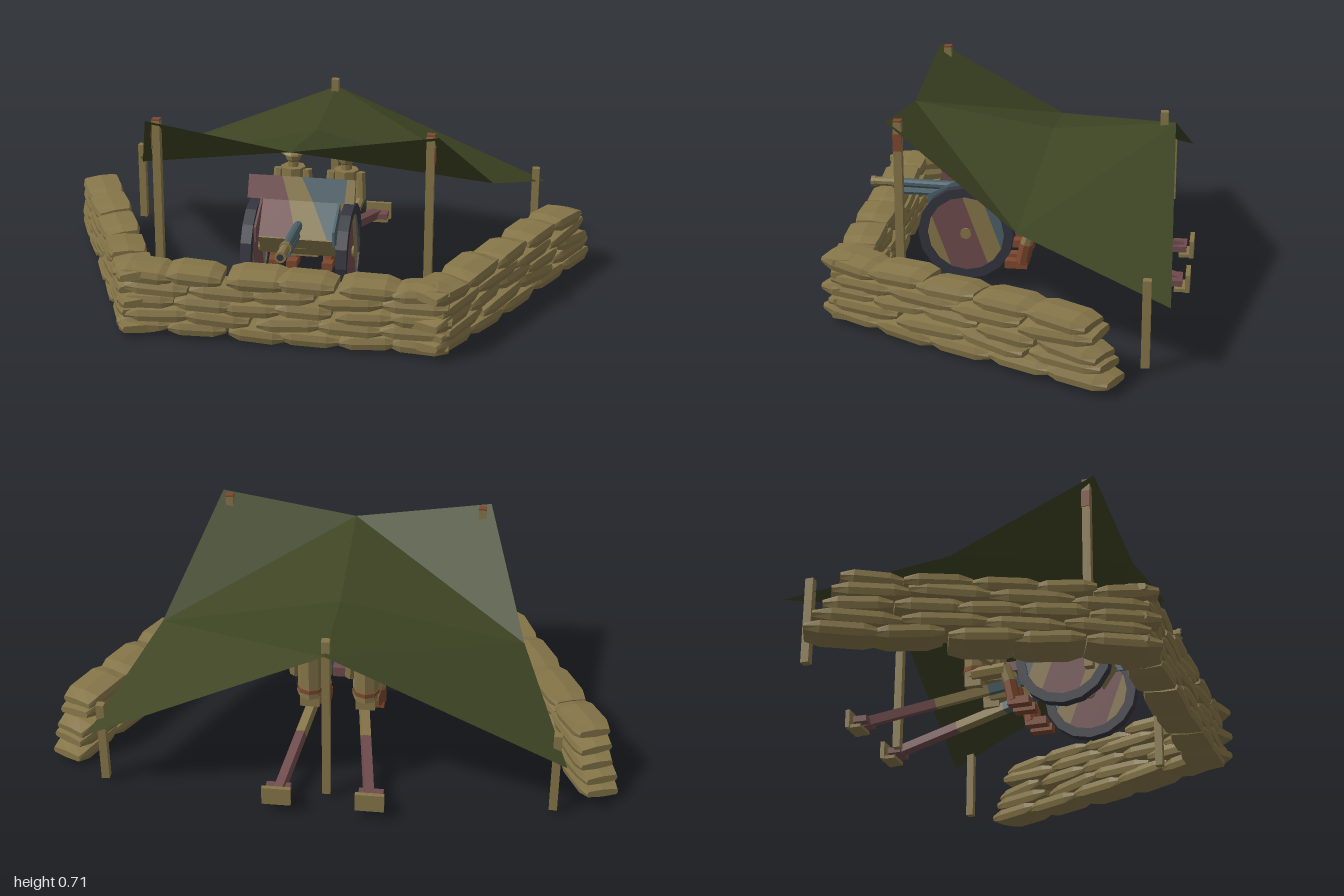
import * as THREE from 'three';

const mat = (name, color) => {
  const m = new THREE.MeshStandardMaterial({ color, flatShading: true });
  m.name = name;
  return m;
};

export function createModel() {
  const root = new THREE.Group();
  const tan = mat('tan', 0x857548), olive = mat('olive canvas', 0x3e4523);
  const rust = mat('rust leather', 0x7d482f), red = mat('mauve camouflage', 0x6f4b4c);
  const teal = mat('teal camouflage', 0x4b6068), dark = mat('tyre', 0x33343e);
  olive.side = THREE.DoubleSide;

  let seed = 7;
  const rand = () => (seed = (seed * 16807) % 2147483647) / 2147483647 - 0.5;
  const V = (a) => new THREE.Vector3(...a);

  function group(name, parent = root) {
    const g = new THREE.Group();
    g.name = name;
    parent.add(g);
    return g;
  }
  function add(parent, name, geo, m, pos = [0, 0, 0]) {
    const mesh = new THREE.Mesh(geo, m);
    mesh.name = name;
    mesh.position.set(...pos);
    parent.add(mesh);
    return mesh;
  }
  // Prism running from point a to point b; four sides give a square bar
  function link(parent, name, m, a, b, r, sides = 8, r2 = r) {
    const d = V(b).sub(V(a));
    const geo = new THREE.CylinderGeometry(r2, r, d.length(), sides, 1, false, sides === 4 ? Math.PI / 4 : 0);
    const mesh = add(parent, name, geo, m, V(a).addScaledVector(d, 0.5).toArray());
    mesh.quaternion.setFromUnitVectors(V([0, 1, 0]), d.normalize());
    return mesh;
  }
  const box = (parent, name, m, size, pos) => add(parent, name, new THREE.BoxGeometry(...size), m, pos);

  // Sandbag: a box with sloping ends and bulging sides
  function bagGeometry(length) {
    const g = new THREE.BoxGeometry(length, 0.058, 0.138, 4, 2, 2);
    const p = g.attributes.position;
    for (let i = 0; i < p.count; i++) {
      const x = p.getX(i), y = p.getY(i), z = p.getZ(i);
      const end = Math.abs(x) > length * 0.45;
      const edge = Math.abs(z) > 0.01 && Math.abs(y) > 0.01;
      p.setX(i, x * (Math.abs(x) > 0.01 && !end ? 1.15 : 1));
      p.setY(i, y * (end ? 0.5 : 1) * (edge ? 0.75 : 1));
      p.setZ(i, z * (end ? 0.85 : 1) * (edge ? 0.92 : 1));
    }
    return g;
  }

  // Wall of staggered, loosely laid bag rows between two ground points; the far end steps in
  function wall(name, a, b, bags, step) {
    const g = group(name), A = V(a), d = V(b).sub(A), full = d.length();
    d.normalize();
    for (let row = 0; row < 5; row++) {
      const shift = row % 2 ? 0.03 : 0;
      const n = bags - (row % 2), len = (full - step * row - shift) / n;
      for (let i = 0; i < n; i++) {
        const inner = i > 0 && i < n - 1 ? 0.04 : 0.01;
        const pos = A.clone().addScaledVector(d, shift + len * (i + 0.5) + rand() * inner);
        pos.y = 0.036 + row * 0.0455 + rand() * 0.01;
        const bag = add(g, 'sandbag', bagGeometry(len * (1.04 + rand() * 0.12)), tan, pos.toArray());
        bag.rotation.set(rand() * 0.22, Math.atan2(-d.z, d.x) + rand() * 0.09, rand() * 0.15, 'YXZ');
      }
    }
  }
  wall('frontWall', [-0.565, 0, 0.518], [0.565, 0, 0.518], 6, 0);
  for (const s of [1, -1]) wall('sideWall', [s * 0.485, 0, 0.585], [s * 0.945, 0, -0.425], 5, 0.023);

  // Canopy: folded sheet, each half made of four flat panels, mirrored
  const A = [0.5, 0.71, 0.39], B = [0, 0.63, 0.39], C = [0.65, 0.4, -0.07];
  const M = [0, 0.55, -0.11], D = [0.815, 0.24, -0.583], E = [0, 0.59, -0.545];
  const sheetPoints = [];
  for (const tri of [[A, C, B], [B, C, M], [C, E, M], [C, D, E]]) {
    sheetPoints.push(...tri.flat());
    sheetPoints.push(...[...tri].reverse().flatMap(([x, y, z]) => [-x, y, z]));
  }
  const sheet = new THREE.BufferGeometry();
  sheet.setAttribute('position', new THREE.Float32BufferAttribute(sheetPoints, 3));
  sheet.computeVertexNormals();
  add(root, 'canopy', sheet, olive);

  // Canopy poles
  const poles = group('poles');
  for (const [x, z, top] of [[0.47, 0.355, 0.705], [-0.47, 0.355, 0.705], [0.78, -0.505, 0.318], [-0.78, -0.505, 0.318], [0, -0.505, 0.63]]) {
    box(poles, 'pole', tan, [0.028, top - 0.015, 0.028], [x, (top + 0.015) / 2, z]);
    if (top > 0.7) {
      box(poles, 'poleBinding', rust, [0.004, 0.06, 0.03], [x + Math.sign(x) * 0.015, 0.635, z]);
      box(poles, 'poleCap', rust, [0.028, 0.006, 0.028], [x, 0.708, z]);
    }
  }

  // Field gun
  const gun = group('fieldGun');

  // Slice of a disc between two parallel chords
  function discSlice(r, a, b) {
    const t0 = Math.acos(b / r), t1 = Math.acos(a / r), s = [];
    for (let i = 0; i <= 6; i++) {
      const t = t0 + ((t1 - t0) * i) / 6;
      s.push(new THREE.Vector2(r * Math.cos(t), r * Math.sin(t)));
    }
    const lower = s.map((p) => new THREE.Vector2(p.x, -p.y)).reverse();
    return new THREE.ExtrudeGeometry(new THREE.Shape([...s, ...lower]), { depth: 0.026, bevelEnabled: false });
  }
  const rim = new THREE.Shape().absarc(0, 0, 0.172, 0, Math.PI * 2);
  rim.holes.push(new THREE.Path().absarc(0, 0, 0.138, 0, Math.PI * 2, true));
  const tyre = new THREE.ExtrudeGeometry(rim, { depth: 0.038, bevelEnabled: false, curveSegments: 8 });
  for (const s of [1, -1]) {
    const wheel = group('wheel', gun);
    wheel.position.set(s * 0.168, 0.202, 0.18);
    wheel.rotation.y = Math.PI / 2;
    add(wheel, 'tyre', tyre, dark, [0, 0, -0.019]);
    const cuts = [-0.14, -0.095, 0.035, 0.1, 0.14];
    [tan, red, tan, teal].forEach((m, i) => {
      const slice = add(wheel, 'wheelDisc', discSlice(0.14, cuts[i], cuts[i + 1]), m, [0, 0, -0.013]);
      slice.rotation.z = 0.35;
    });
    link(gun, 'hub', tan, [s * 0.14, 0.202, 0.18], [s * 0.188, 0.202, 0.18], 0.02, 10);
    // Trail leg with its ground spade
    const at = (t) => [s * (0.05 + 0.105 * t), 0.21 - 0.15 * t, 0.12 - 0.7 * t];
    [[0, 0.35, teal], [0.35, 0.62, tan], [0.62, 1, red]].forEach(([t0, t1, m]) =>
      link(gun, 'trail', m, at(t0), at(t1), 0.023, 4));
    box(gun, 'trailFoot', red, [0.085, 0.022, 0.05], [s * 0.16, 0.06, -0.568]);
    box(gun, 'spade', tan, [0.1, 0.066, 0.016], [s * 0.16, 0.063, -0.612]);
    box(gun, 'spadeShelf', tan, [0.085, 0.012, 0.045], [s * 0.16, 0.035, -0.587]);
    // Shield cheek beside the wheel
    const cheek = new THREE.Shape([[0.325, 0.27], [0.325, 0.325], [0.2, 0.395], [0.2, 0.27]].map((p) => new THREE.Vector2(-p[0], p[1])));
    const plate = add(gun, 'shieldCheek', new THREE.ExtrudeGeometry(cheek, { depth: 0.008, bevelEnabled: false }), s > 0 ? teal : red, [s * 0.138 - 0.004, 0, 0]);
    plate.rotation.y = Math.PI / 2;
  }
  link(gun, 'axle', tan, [-0.16, 0.202, 0.18], [0.16, 0.202, 0.18], 0.018);

  // Shield: two bands cut into slanted camouflage stripes, leaning back
  const lines = [[-0.4, -0.4], [0.0, -0.07], [0.11, 0.0], [0.15, 0.16], [0.4, 0.4]];
  const lineX = (i, y) => lines[i][0] + (lines[i][1] - lines[i][0]) * ((y - 0.275) / 0.19);
  for (const [y0, y1, w] of [[0.275, 0.388, 0.142], [0.388, 0.465, 0.19]]) {
    [red, tan, teal, tan].forEach((m, i) => {
      const X = (k, y) => THREE.MathUtils.clamp(lineX(k, y), -w, w);
      if (X(i + 1, y1) - X(i, y1) < 0.003) return;
      const shape = new THREE.Shape([[X(i, y0), y0], [X(i + 1, y0), y0], [X(i + 1, y1), y1], [X(i, y1), y1]].map((p) => new THREE.Vector2(...p)));
      const geo = new THREE.ExtrudeGeometry(shape, { depth: 0.004, bevelEnabled: false });
      const p = geo.attributes.position;
      for (let k = 0; k < p.count; k++) {
        const y = p.getY(k);
        p.setZ(k, p.getZ(k) + 0.3 - Math.min(y - 0.25, 0.138) * 0.72 - Math.max(y - 0.388, 0) * 0.4);
      }
      geo.computeVertexNormals();
      add(gun, 'shield', geo, m);
    });
  }
  const apron = box(gun, 'shieldApron', tan, [0.27, 0.09, 0.005], [0, 0.24, 0.262]);
  apron.rotation.x = 0.6;

  // Barrel, recoil cylinder, breech and carriage
  link(gun, 'muzzle', tan, [0, 0.317, 0.465], [0, 0.317, 0.56], 0.017, 10);
  link(gun, 'muzzleCollar', tan, [0, 0.317, 0.545], [0, 0.317, 0.56], 0.02, 10);
  link(gun, 'muzzleCollar', tan, [0, 0.317, 0.465], [0, 0.317, 0.48], 0.022, 10);
  link(gun, 'muzzleBore', dark, [0, 0.317, 0.555], [0, 0.317, 0.562], 0.012, 10);
  link(gun, 'barrel', teal, [0, 0.31, 0.1], [0, 0.317, 0.47], 0.017, 10);
  link(gun, 'recoilCylinder', teal, [0, 0.282, 0.1], [0, 0.285, 0.45], 0.014, 8);
  box(gun, 'cradle', tan, [0.06, 0.07, 0.2], [0, 0.265, 0.16]);
  box(gun, 'carriage', tan, [0.13, 0.05, 0.12], [0, 0.212, 0.16]);
  box(gun, 'breech', red, [0.05, 0.036, 0.24], [0, 0.268, -0.01]);
  link(gun, 'sightPost', tan, [0.06, 0.25, 0.13], [0.06, 0.39, 0.13], 0.008, 4);
  link(gun, 'sightPost', tan, [-0.06, 0.25, 0.06], [-0.06, 0.37, 0.06], 0.008, 4);
  link(gun, 'handle', teal, [0.05, 0.24, 0.1], [0.09, 0.24, 0.03], 0.007, 6);

  // Crew: two seated figures on the trails, legs reaching forward
  for (const s of [1, -1]) {
    const c = group('crewMember');
    c.position.set(s * 0.1, 0, -0.17);
    box(c, 'seat', tan, [0.07, 0.04, 0.06], [0, 0.18, 0]);
    link(c, 'torso', tan, [0, 0.195, 0], [0, 0.385, 0], 0.044, 8, 0.046);
    link(c, 'belt', rust, [0, 0.218, 0], [0, 0.234, 0], 0.047, 8);
    link(c, 'neck', tan, [0, 0.38, 0], [0, 0.41, 0], 0.02);
    add(c, 'head', new THREE.SphereGeometry(0.031, 8, 6), tan, [0, 0.428, 0]);
    link(c, 'helmetBrim', tan, [0, 0.438, 0], [0, 0.447, 0], 0.045, 10, 0.037);
    add(c, 'helmet', new THREE.SphereGeometry(0.038, 10, 4, 0, Math.PI * 2, 0, Math.PI / 2), tan, [0, 0.446, 0]);
    for (const k of [1, -1]) {
      link(c, 'upperArm', tan, [k * 0.052, 0.375, 0], [k * 0.058, 0.275, 0.012], 0.02, 7);
      link(c, 'forearm', tan, [k * 0.058, 0.278, 0.01], [k * 0.042, 0.235, 0.08], 0.016, 7);
      link(c, 'thigh', tan, [k * 0.022, 0.205, 0], [k * 0.034, 0.205, 0.125], 0.027, 7);
      link(c, 'shin', tan, [k * 0.034, 0.215, 0.12], [k * 0.034, 0.14, 0.145], 0.023, 7);
      link(c, 'boot', rust, [k * 0.034, 0.155, 0.14], [k * 0.034, 0.08, 0.155], 0.025, 7);
      box(c, 'bootToe', rust, [0.038, 0.028, 0.08], [k * 0.034, 0.077, 0.175]);
    }
  }
  return root;
}
